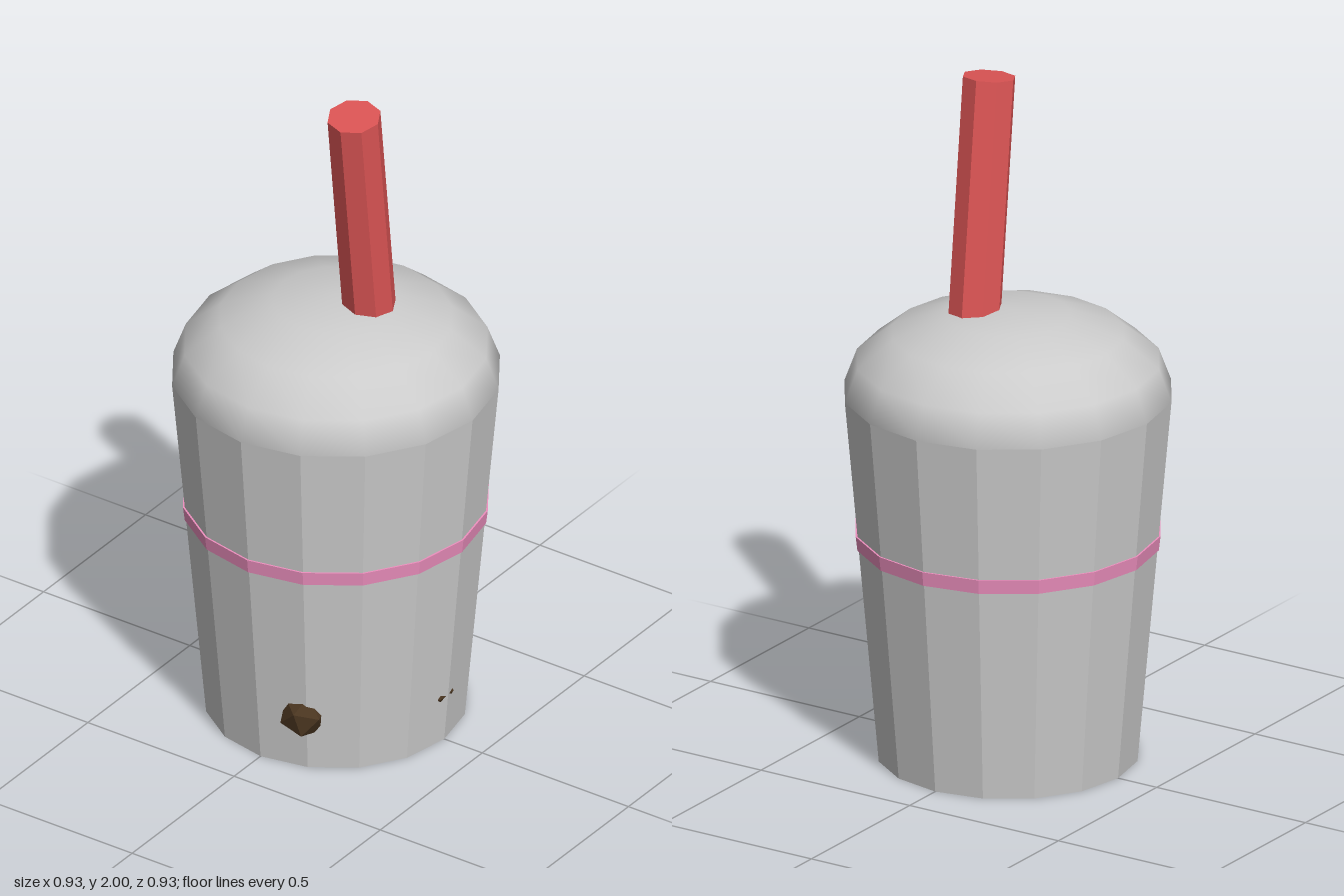
import * as THREE from 'three';

const SIDES = 16;

function part(name, geometry, color, flatShading = true) {
  const mesh = new THREE.Mesh(geometry, new THREE.MeshStandardMaterial({ color, flatShading }));
  mesh.name = name;
  return mesh;
}

export function createModel() {
  const model = new THREE.Group();
  model.name = 'bubbleTea';

  // Tapered cup, narrower at the foot
  const cup = part('cup', new THREE.CylinderGeometry(0.467, 0.37, 1.085, SIDES), 0xcccccc);
  cup.position.y = 1.085 / 2;
  model.add(cup);

  // Smooth, flattened dome lid
  const lid = part('domeLid',
    new THREE.SphereGeometry(0.467, SIDES, 4, 0, Math.PI * 2, 0, Math.PI / 2), 0xcccccc, false);
  lid.geometry.scale(1, 0.252 / 0.467, 1);
  lid.position.y = 1.085;
  model.add(lid);

  // Thin coloured stripe standing just proud of the cup wall
  const stripe = part('stripe', new THREE.CylinderGeometry(0.436, 0.431, 0.042, SIDES), 0xee90bf);
  stripe.position.y = 0.659;
  model.add(stripe);

  // Eight-sided straw leaning forward through the lid
  const length = 1;
  const top = new THREE.Vector3(0.104, 1.99, 0.061);
  const axis = new THREE.Vector3(0.015, 0.67, 0.095).normalize();
  const straw = part('straw', new THREE.CylinderGeometry(0.077, 0.077, length, 8), 0xdd5555);
  straw.geometry.rotateY(0.09);
  straw.quaternion.setFromUnitVectors(new THREE.Vector3(0, 1, 0), axis);
  straw.position.copy(top).addScaledVector(axis, -length / 2);
  model.add(straw);

  // Tapioca pearls pressed against the cup wall
  const pearls = [
    { radius: 0.07, at: [0.123, 0.166, 0.335], turn: [0.1, 0.3, 0.25] },
    { radius: 0.062, at: [0.329, 0.15, 0.003], turn: [0, 0, 0] },
  ];
  pearls.forEach(({ radius, at, turn }) => {
    const pearl = part('pearl', new THREE.IcosahedronGeometry(radius, 0), 0x4a3520);
    pearl.position.set(...at);
    pearl.rotation.set(...turn);
    model.add(pearl);
  });

  return model;
}
